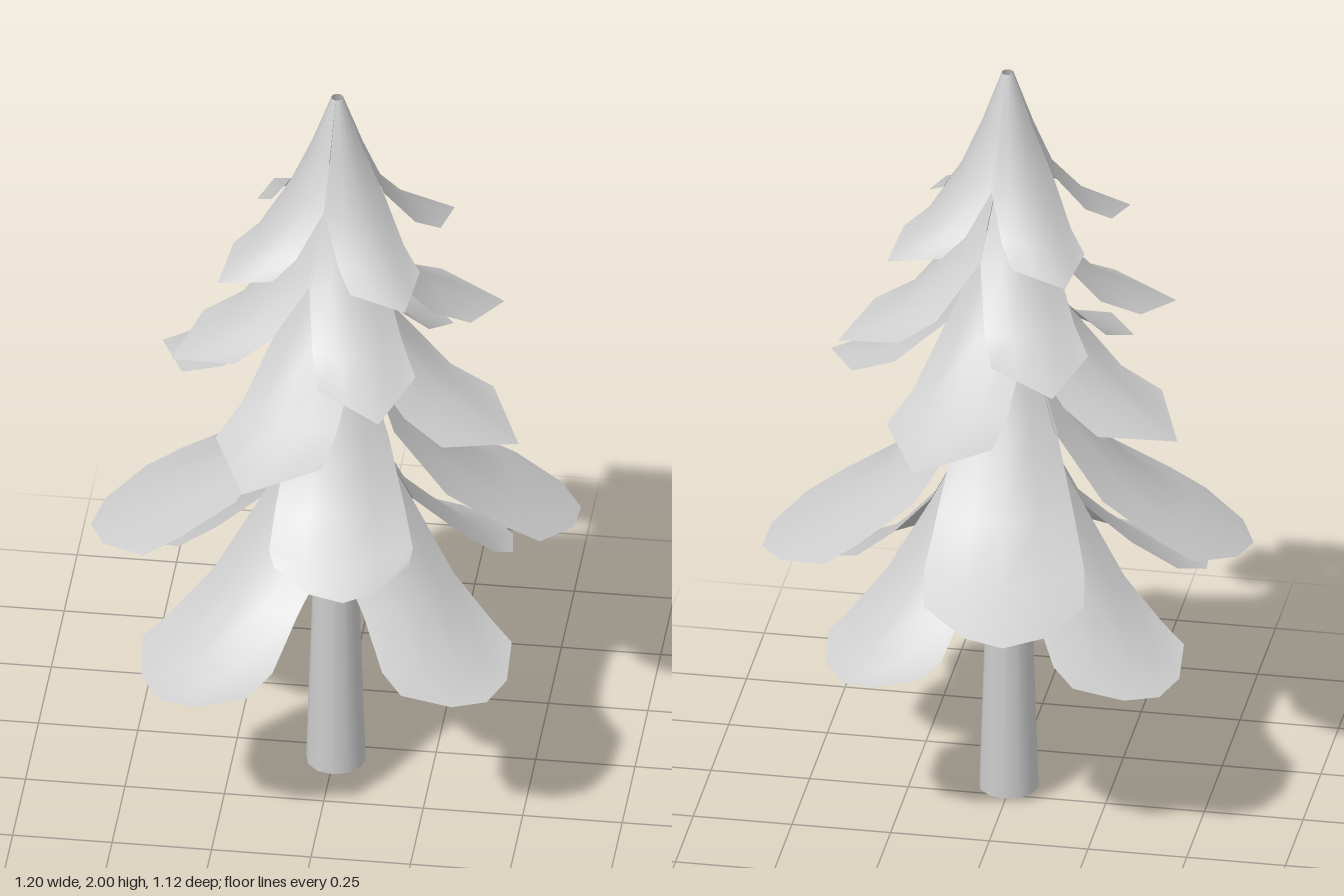
import * as THREE from 'three';

const material = new THREE.MeshStandardMaterial({ color: 0xcccccc, side: THREE.DoubleSide });
const AXIS = { x: 0.01, z: 0.065 };
const COLUMNS = [-1, -0.5, 0, 0.5, 1];
const JOIN = 2; // row where neighbouring boughs part

// Each row of a bough: radius and height of its ridge, half width, radius of its
// side edges, and how much the edges rise above the ridge.
const whorl = (r, y) => [r, y, r * 0.71, r * 0.71, 0];

// reach scales the length of single boughs, lift is how far a shorter bough's tip rises
const tiers = [
  { name: 'bottom', angles: [48, 141, 231, 321], pointed: false, reach: [0.93, 0.89, 0.94, 1], lift: 0, rows: [
    whorl(0.02, 1.1), whorl(0.11, 0.95), whorl(0.19, 0.79),
    [0.33, 0.65, 0.15, 0.28, -0.01], [0.48, 0.52, 0.185, 0.4, 0.02], [0.615, 0.47, 0.19, 0.49, 0.04]] },
  { name: 'lower', angles: [9, 106, 189, 276], pointed: false, reach: [0.74, 1, 1, 1], lift: 0.32, rows: [
    whorl(0.02, 1.42), whorl(0.1, 1.24), whorl(0.175, 1.06),
    [0.31, 0.89, 0.17, 0.25, 0], [0.46, 0.785, 0.2, 0.39, 0.015], [0.615, 0.7, 0.2, 0.48, 0.045]] },
  { name: 'middle', angles: [72, 162, 248, 339], pointed: true, rows: [
    whorl(0.02, 1.62), whorl(0.085, 1.48), whorl(0.16, 1.32),
    [0.3, 1.185, 0.135, 0.25, 0], [0.5, 1.1, 0.15, 0.36, 0.04]] },
  { name: 'upper', angles: [21, 114, 205, 295], pointed: true, rows: [
    whorl(0.02, 1.8), whorl(0.075, 1.66), whorl(0.135, 1.52),
    [0.255, 1.385, 0.115, 0.21, 0], [0.435, 1.3, 0.125, 0.31, 0.04]] },
  { name: 'top', angles: [37, 128, 215, 306], pointed: true, rows: [
    whorl(0.015, 2), whorl(0.065, 1.86), whorl(0.12, 1.73),
    [0.215, 1.62, 0.095, 0.17, 0], [0.34, 1.55, 0.1, 0.24, 0.03]] },
];

// A curved sheet that hugs the tree at its top and flares out to a tip
function boughGeometry({ rows, pointed, lift = 0 }, reach) {
  const positions = [], indices = [];
  const last = rows.length - 1, n = COLUMNS.length;
  rows.forEach(([r, y, width, edge, rise], i) => {
    const t = Math.max(0, (i - JOIN) / (last - JOIN));
    const scale = 1 + (reach - 1) * t;
    const power = pointed && i === last ? 1 : 2;
    for (const u of COLUMNS) {
      const k = Math.abs(u) ** power;
      positions.push(
        u * width * (0.4 + 0.6 * scale),
        y + (1 - reach) * lift * t + rise * k,
        (r + (edge - r) * k) * scale);
    }
    if (i === last) return;
    for (let j = 0; j < n - 1; j++) {
      const a = i * n + j, b = a + 1, c = a + n, d = c + 1;
      indices.push(a, c, b, b, c, d);
    }
  });
  const geometry = new THREE.BufferGeometry();
  geometry.setAttribute('position', new THREE.Float32BufferAttribute(positions, 3));
  geometry.setIndex(indices);
  geometry.computeVertexNormals();
  return geometry;
}

function addMesh(parent, geometry, name) {
  const mesh = new THREE.Mesh(geometry, material);
  mesh.name = name;
  parent.add(mesh);
  return mesh;
}

export function createModel() {
  const tree = new THREE.Group();
  tree.name = 'firTree';

  // Tapered trunk, running up inside the boughs
  const trunk = addMesh(tree, new THREE.CylinderGeometry(0.04, 0.075, 1.1, 12), 'trunk');
  trunk.position.set(AXIS.x - 0.005, 0.55, AXIS.z - 0.01);

  // Five whorls of four boughs
  for (const tier of tiers) {
    const group = new THREE.Group();
    group.name = `${tier.name}Boughs`;
    group.position.set(AXIS.x, 0, AXIS.z);
    tier.angles.forEach((angle, i) => {
      const bough = addMesh(group, boughGeometry(tier, tier.reach?.[i] ?? 1), `${tier.name}Bough`);
      bough.rotation.y = THREE.MathUtils.degToRad(angle);
    });
    tree.add(group);
  }
  return tree;
}
